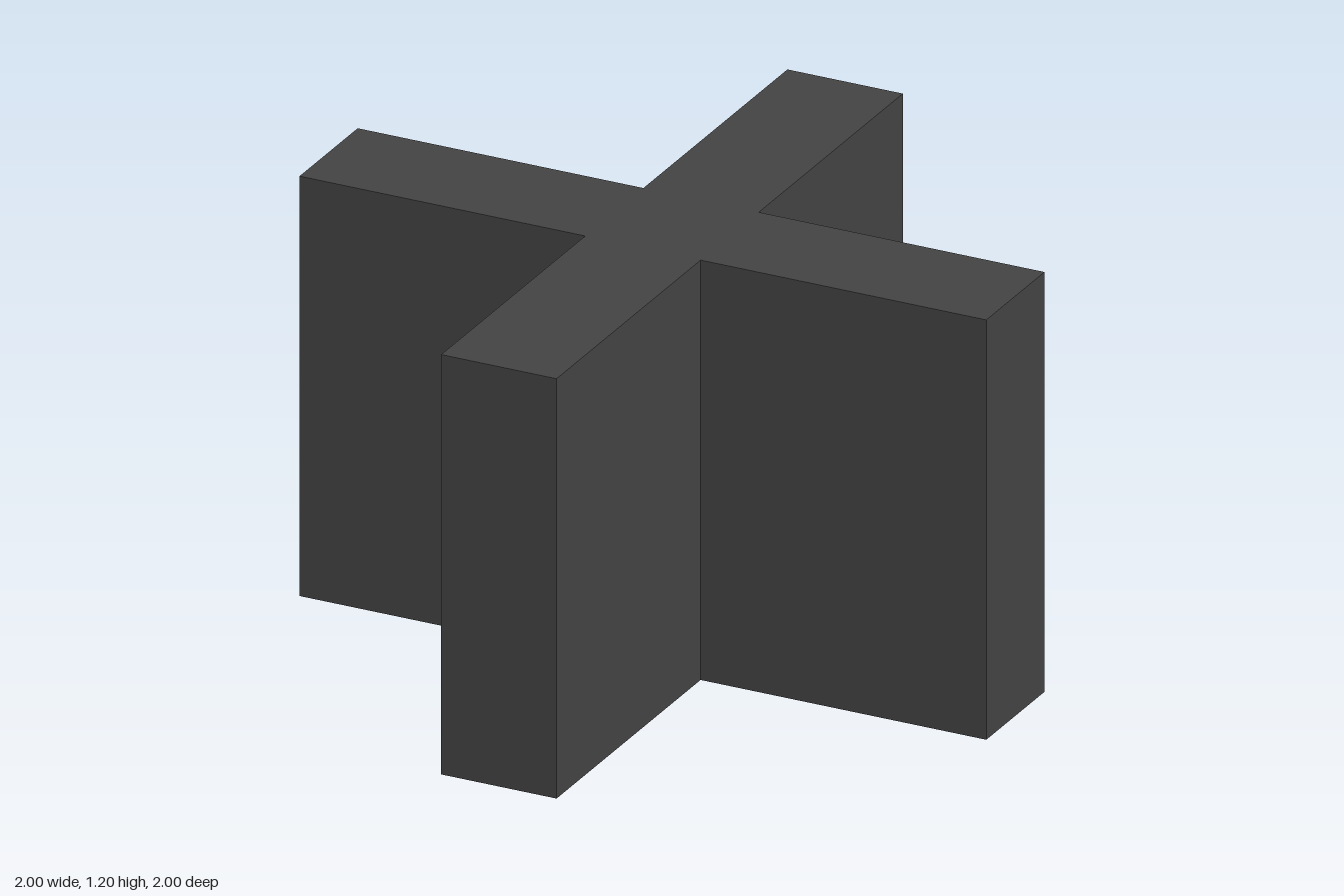
import * as THREE from 'three';

export function createModel() {
  const group = new THREE.Group();
  const reach = 1, half = 0.168, height = 1.2;

  // Plus-shaped outline, one arm per quarter turn
  const outline = [];
  for (let i = 0; i < 4; i++) {
    const arm = [[reach, -half], [reach, half], [half, half]];
    for (const [x, y] of arm) {
      outline.push(new THREE.Vector2(x, y).rotateAround(new THREE.Vector2(), i * Math.PI / 2));
    }
  }

  // Extruded upward into a solid cross
  const geometry = new THREE.ExtrudeGeometry(new THREE.Shape(outline), { depth: height, bevelEnabled: false });
  geometry.rotateX(-Math.PI / 2);

  const cross = new THREE.Mesh(geometry, new THREE.MeshStandardMaterial({ color: 0x444444 }));
  cross.name = 'crossBlock';
  group.add(cross);
  return group;
}
